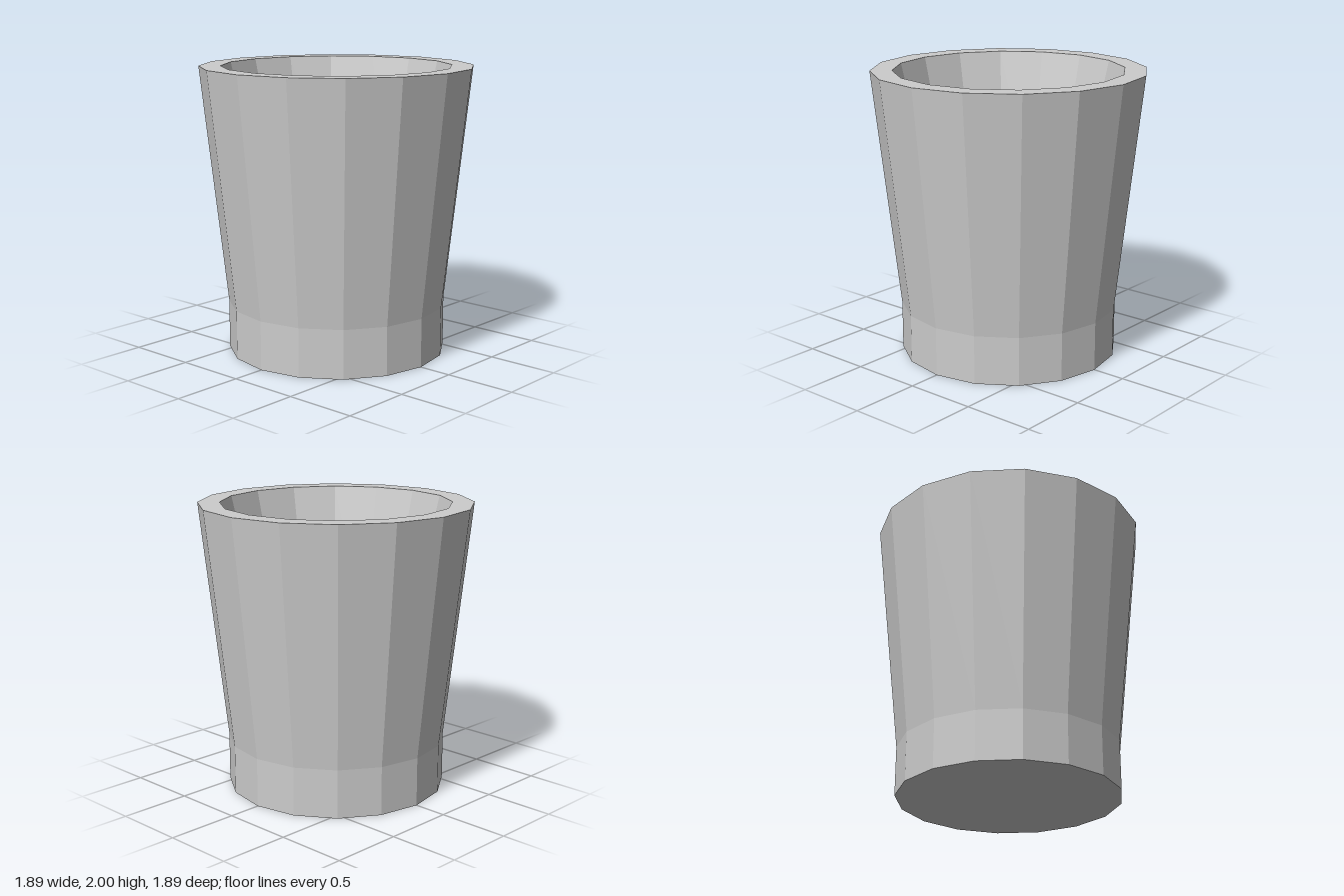
import * as THREE from 'three';

const SIDES = 16;

// Faceted ring surface turned from [radius, height] points
function turned(name, points, material) {
  const profile = points.map(([r, y]) => new THREE.Vector2(r, y));
  const mesh = new THREE.Mesh(new THREE.LatheGeometry(profile, SIDES), material);
  mesh.name = name;
  return mesh;
}

export function createModel() {
  const group = new THREE.Group();
  group.name = 'cup';
  const material = new THREE.MeshStandardMaterial({ color: 0xcccccc, flatShading: true });

  // Flat underside and straight foot
  group.add(turned('foot', [[0, 0], [0.765, 0], [0.765, 0.34]], material));
  // Flaring outer wall
  group.add(turned('outerWall', [[0.765, 0.34], [0.947, 2]], material));
  // Flat rim
  group.add(turned('rim', [[0.947, 2], [0.796, 2]], material));
  // Shallow tapered hollow with a flat floor
  group.add(turned('hollow', [[0.796, 2], [0.565, 1.03], [0, 1.03]], material));

  return group;
}
